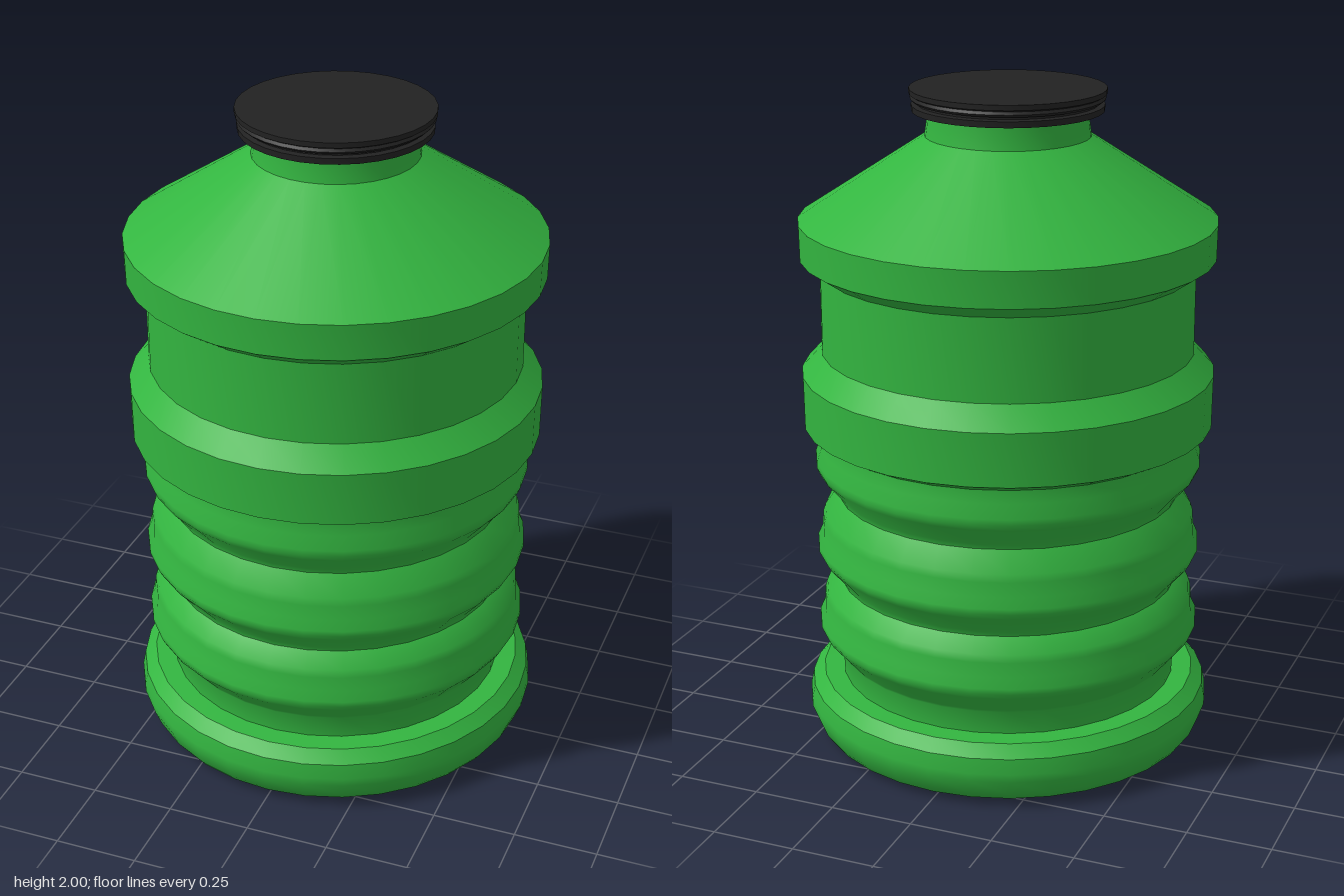
import * as THREE from 'three';
import { toCreasedNormals } from 'three/addons/utils/BufferGeometryUtils.js';

const SEGMENTS = 32;

// Turned part from [radius, height] pairs, bottom to top
function turned(name, profile, material) {
  const points = profile.map(([r, y]) => new THREE.Vector2(r, y));
  const geometry = toCreasedNormals(new THREE.LatheGeometry(points, SEGMENTS), 0.6);
  const mesh = new THREE.Mesh(geometry, material);
  mesh.name = name;
  return mesh;
}

export function createModel() {
  const green = new THREE.MeshStandardMaterial({ color: 0x33b540 });
  green.name = 'green plastic';
  const black = new THREE.MeshStandardMaterial({ color: 0x222222 });
  black.name = 'black plastic';

  const model = new THREE.Group();
  model.name = 'bottle';

  // Foot with a slight moulding dimple underneath
  const foot = [
    [0, 0.012], [0.03, 0.01], [0.06, 0], [0.25, 0.001], [0.56, 0.008], [0.585, 0.02],
    [0.6, 0.04], [0.62, 0.09], [0.62, 0.115], [0.611, 0.16], [0.575, 0.193], [0.515, 0.195],
  ];

  // Three bellows ridges, each with a bulge below and a band above
  const ridges = [];
  for (const y of [0.265, 0.515, 0.785]) {
    ridges.push([0.518, y - (y < 0.3 ? 0 : 0.008)], [0.522, y + 0.008]);
    if (y < 0.7) {
      ridges.push([0.574, y + 0.07], [0.584, y + 0.088], [0.584, y + 0.105],
        [0.57, y + 0.135], [0.567, y + 0.18], [0.56, y + 0.202]);
    } else {
      ridges.push([0.577, y + 0.073], [0.584, y + 0.09], [0.584, y + 0.108],
        [0.57, y + 0.15], [0.567, y + 0.19]);
    }
  }

  // Waist band, label recess, shoulder and neck
  const upper = [
    [0.575, 0.98], [0.615, 1.0], [0.617, 1.16], [0.557, 1.225],
    [0.557, 1.472], [0.615, 1.512], [0.617, 1.618], [0.243, 1.862],
    [0.237, 1.9], [0.235, 1.94],
  ];
  model.add(turned('body', [...foot, ...ridges, ...upper], green));

  // Flat cap with stacked grip rings
  model.add(turned('cap', [
    [0, 1.935], [0.28, 1.935], [0.281, 1.953], [0.265, 1.956], [0.265, 1.962],
    [0.276, 1.964], [0.284, 1.972], [0.278, 1.98], [0.287, 1.985], [0.287, 2], [0, 2],
  ], black));

  return model;
}
